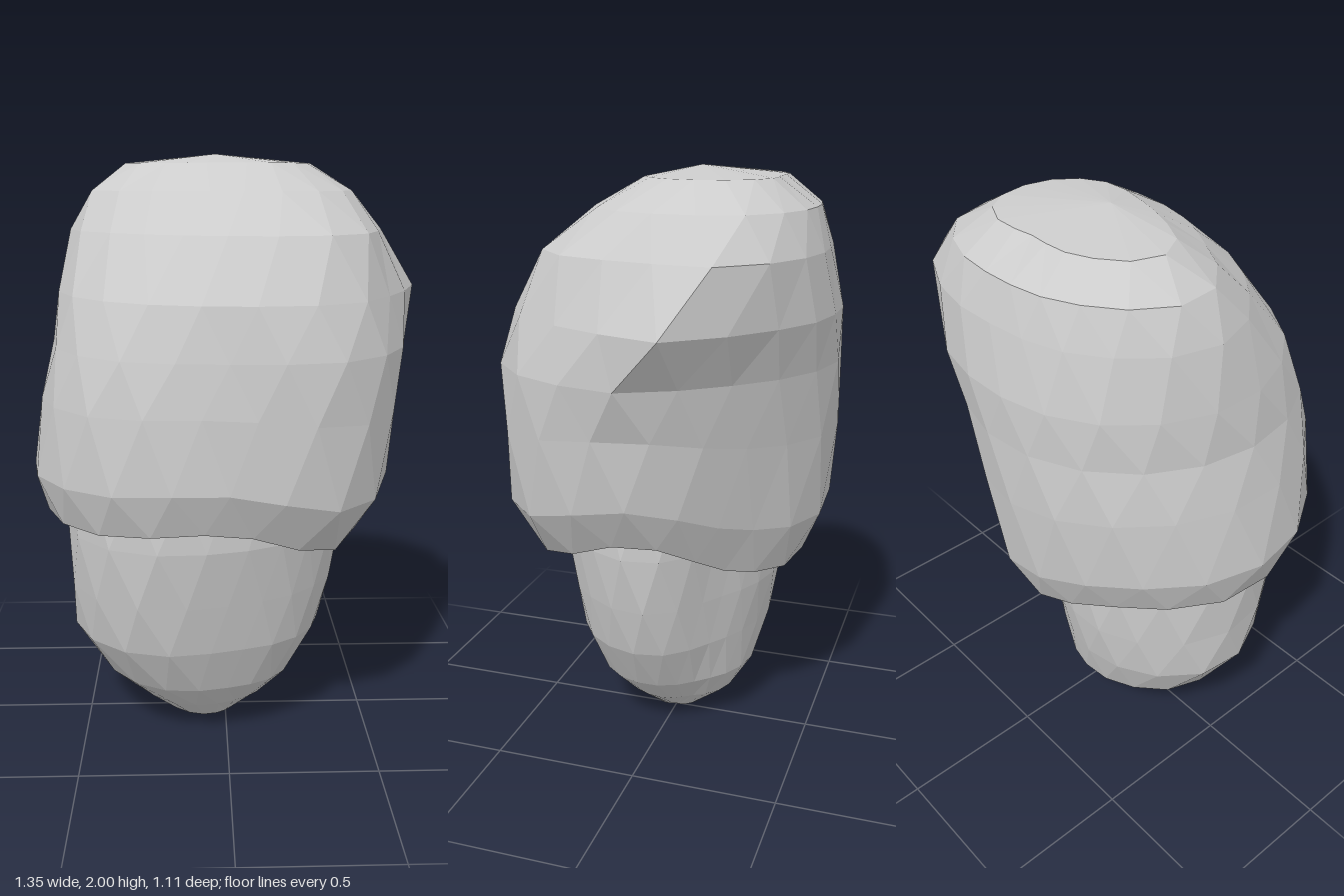
import * as THREE from 'three';

const SIDES = 20;

// Smooth closed interpolation of 8 values, spaced 45 degrees apart from +x towards +z
function around(values, angle) {
  const n = values.length;
  const t = (((angle / (Math.PI * 2)) % 1) + 1) % 1 * n;
  const i = Math.floor(t), f = t - i;
  const [a, b, c, d] = [-1, 0, 1, 2].map(k => values[(i + k + n) % n]);
  return b + 0.5 * f * (c - a + f * (2 * a - 5 * b + 4 * c - d + f * (3 * (b - c) + d - a)));
}

// One ring of points; odd rings are turned half a step to give irregular facets
function ring(row, radiusAt, heightAt, centerZ = 0) {
  return Array.from({ length: SIDES }, (_, j) => {
    const angle = (j + (row % 2) * 0.5) / SIDES * Math.PI * 2;
    const r = radiusAt(angle);
    return [r * Math.cos(angle), heightAt(angle), centerZ + r * Math.sin(angle)];
  });
}

// Skin a stack of rings, closing an end with a pole where one is given
function loft(rings, bottom, top) {
  const pos = [];
  rings.forEach((lower, i) => {
    const upper = rings[i + 1];
    for (let j = 0; j < SIDES; j++) {
      const k = (j + 1) % SIDES;
      if (i === 0 && bottom) pos.push(...lower[j], ...lower[k], ...bottom);
      if (!upper) {
        pos.push(...lower[j], ...top, ...lower[k]);
      } else if (i % 2 === 0) {
        pos.push(...lower[j], ...upper[j], ...lower[k], ...lower[k], ...upper[j], ...upper[k]);
      } else {
        pos.push(...lower[j], ...upper[j], ...upper[k], ...lower[j], ...upper[k], ...lower[k]);
      }
    }
  });
  const geo = new THREE.BufferGeometry();
  geo.setAttribute('position', new THREE.Float32BufferAttribute(pos, 3));
  geo.computeVertexNormals();
  return geo;
}

export function createModel() {
  const group = new THREE.Group();
  const material = new THREE.MeshStandardMaterial({
    color: 0xcccccc, flatShading: true, side: THREE.DoubleSide,
  });
  const add = (name, geo) => {
    const mesh = new THREE.Mesh(geo, material);
    mesh.name = name;
    group.add(mesh);
  };

  // Lower body: rounded tip, flattened back
  const bodyRows = [
    [0.01, [0.02, 0.04, 0.08, 0.15, 0.20, 0.12, 0.06, 0.03]],
    [0.10, [0.14, 0.16, 0.19, 0.27, 0.31, 0.25, 0.19, 0.13]],
    [0.20, [0.23, 0.26, 0.28, 0.38, 0.43, 0.34, 0.25, 0.20]],
    [0.37, [0.33, 0.34, 0.35, 0.49, 0.54, 0.41, 0.28, 0.25]],
    [0.55, [0.38, 0.37, 0.39, 0.53, 0.55, 0.44, 0.31, 0.27]],
    [0.75, [0.41, 0.39, 0.43, 0.55, 0.55, 0.45, 0.32, 0.29]],
    [0.95, [0.40, 0.38, 0.42, 0.54, 0.54, 0.44, 0.32, 0.29]],
  ];
  add('lowerBody', loft(
    bodyRows.map(([y, radii], i) => ring(i, a => around(radii, a), () => y)),
    [-0.1, 0, 0.02], [0, 0.95, 0]));

  // Cap: wavy rim, slanting front face, side bulge
  const rimWave = [0.03, -0.07, 0.03, 0.01, 0.0, -0.02, -0.14, -0.11];
  const capRows = [
    // height, radii, centre z, share of the rim wave
    [0.83, [0.38, 0.37, 0.42, 0.53, 0.53, 0.43, 0.31, 0.28], 0, 1],
    [0.80, [0.46, 0.50, 0.49, 0.59, 0.62, 0.52, 0.44, 0.35], 0, 1],
    [0.95, [0.54, 0.60, 0.55, 0.64, 0.67, 0.59, 0.52, 0.42], 0, 0.8],
    [1.20, [0.56, 0.62, 0.54, 0.62, 0.63, 0.60, 0.55, 0.48], 0, 0.4],
    [1.38, [0.55, 0.62, 0.52, 0.58, 0.59, 0.58, 0.56, 0.53], 0, 0],
    [1.55, [0.54, 0.61, 0.54, 0.55, 0.57, 0.54, 0.51, 0.55], -0.05, 0],
    [1.75, [0.51, 0.56, 0.46, 0.45, 0.53, 0.46, 0.42, 0.50], -0.1, 0],
    [1.88, [0.44, 0.42, 0.34, 0.34, 0.47, 0.39, 0.35, 0.41], -0.13, 0],
    [1.97, [0.30, 0.27, 0.20, 0.22, 0.34, 0.26, 0.20, 0.27], -0.15, 0],
  ];
  // The bulge swings towards the back as it rises
  const bulge = (angle, y) => {
    const from = angle + 0.1 + 0.9 * (y - 1.5);
    const turn = Math.atan2(Math.sin(from), Math.cos(from));
    return 0.15 * Math.exp(-((turn / 0.34) ** 2) - ((y - 1.58) / 0.24) ** 2);
  };
  add('cap', loft(
    capRows.map(([y, radii, z, wave], i) => ring(i,
      a => around(radii, a) + bulge(a, y),
      a => y + wave * around(rimWave, a), z)),
    null, [-0.03, 2, -0.08]));

  return group;
}
